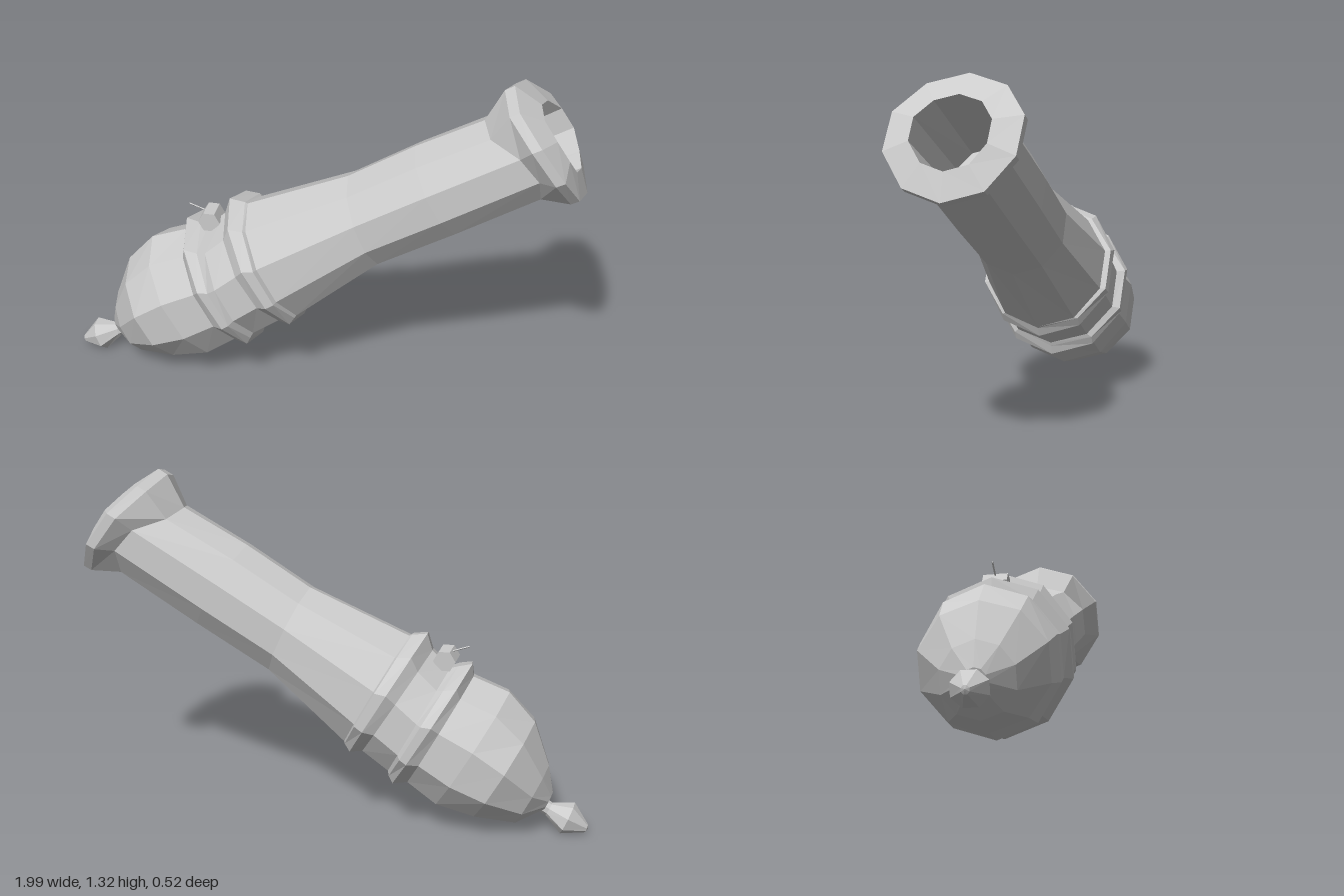
import * as THREE from 'three';

const material = new THREE.MeshStandardMaterial({ color: 0xcccccc, flatShading: true });

// Skin a row of rings. Each ring is [topX, topY, bottomX, bottomY, radiusZ, forwardBulge].
function loft(name, rings, sides = 10, offset = 0) {
  const point = ([tx, ty, bx, by, r, bulge = 0], j) => {
    const a = ((j + offset) / sides) * Math.PI * 2;
    const c = Math.cos(a) / 2, s = Math.sin(a), push = bulge * s ** 4;
    return [
      (tx + bx) / 2 + (tx - bx) * c + push * 0.84,
      (ty + by) / 2 + (ty - by) * c + push * 0.54,
      s * r,
    ];
  };
  const pos = [];
  for (let i = 0; i < rings.length - 1; i++) {
    for (let j = 0; j < sides; j++) {
      const a = point(rings[i], j), b = point(rings[i], j + 1);
      const c = point(rings[i + 1], j), d = point(rings[i + 1], j + 1);
      pos.push(...a, ...b, ...c, ...b, ...d, ...c);
    }
  }
  const geometry = new THREE.BufferGeometry();
  geometry.setAttribute('position', new THREE.Float32BufferAttribute(pos, 3));
  geometry.computeVertexNormals();
  const mesh = new THREE.Mesh(geometry, material);
  mesh.name = name;
  return mesh;
}

export function createModel() {
  const group = new THREE.Group();
  group.name = 'cannonBarrel';

  // Rings shared by neighbouring parts
  const breechEnd = [-0.54, 0.60, -0.30, 0.16, 0.245];
  const bandGapBack = [-0.45, 0.625, -0.225, 0.20, 0.245];
  const bandGapFront = [-0.38, 0.69, -0.12, 0.27, 0.24];
  const barrelStart = [-0.29, 0.74, -0.05, 0.30, 0.24];
  const flareBase = [0.60, 1.18, 0.84, 0.905, 0.19, 0.09];
  const mouth = [0.80, 1.26, 0.96, 1.02, 0.144, 0.02];

  // Knob on the rear end
  group.add(loft('rearKnob', [
    [-1, 0.025, -1, 0.025, 0],
    [-1, 0.04, -0.99, 0.01, 0.015],
    [-0.945, 0.12, -0.895, 0.0, 0.07],
    [-0.86, 0.115, -0.835, 0.065, 0.026],
    [-0.82, 0.14, -0.79, 0.09, 0.026],
  ], 8, 0.5));

  // Rounded breech
  group.add(loft('breech', [
    [-0.845, 0.125, -0.845, 0.125, 0],
    [-0.86, 0.16, -0.83, 0.09, 0.04],
    [-0.84, 0.27, -0.72, 0.03, 0.134],
    [-0.78, 0.44, -0.56, 0.05, 0.235],
    [-0.68, 0.55, -0.41, 0.08, 0.252],
    breechEnd,
  ]));

  // Two raised bands with a plain stretch between
  group.add(loft('rearBand', [
    breechEnd,
    [-0.535, 0.65, -0.24, 0.15, 0.275],
    [-0.48, 0.635, -0.23, 0.185, 0.275],
    bandGapBack,
  ]));
  group.add(loft('bandGap', [bandGapBack, bandGapFront]));
  group.add(loft('frontBand', [
    bandGapFront,
    [-0.36, 0.755, -0.07, 0.26, 0.265],
    [-0.30, 0.745, -0.055, 0.295, 0.262],
    barrelStart,
  ]));

  // Tapered barrel
  group.add(loft('barrel', [
    barrelStart,
    [0.10, 0.90, 0.25, 0.56, 0.185],
    [0.35, 1.05, 0.54, 0.725, 0.19],
    flareBase,
  ]));

  // Flared muzzle and its front face
  group.add(loft('muzzle', [
    flareBase,
    [0.665, 1.305, 0.96, 0.905, 0.245, 0.03],
    [0.70, 1.325, 0.99, 0.92, 0.245, 0.03],
    mouth,
  ]));

  // Hollow bore with a closed end
  group.add(loft('bore', [
    mouth,
    [0.46, 1.05, 0.59, 0.83, 0.13],
    [0.525, 0.94, 0.525, 0.94, 0],
  ]));

  // Vent block and fuse on top of the breech
  const vent = new THREE.Mesh(new THREE.CylinderGeometry(0.043, 0.043, 0.09, 6), material);
  vent.name = 'ventBlock';
  vent.rotation.set(Math.PI / 2, 0.5, 0);
  vent.position.set(-0.435, 0.665, 0);
  group.add(vent);

  const fuse = new THREE.Mesh(new THREE.CylinderGeometry(0.003, 0.003, 0.12, 4), material);
  fuse.name = 'fuse';
  fuse.rotation.z = 1.22;
  fuse.position.set(-0.465, 0.697, 0);
  group.add(fuse);

  return group;
}
